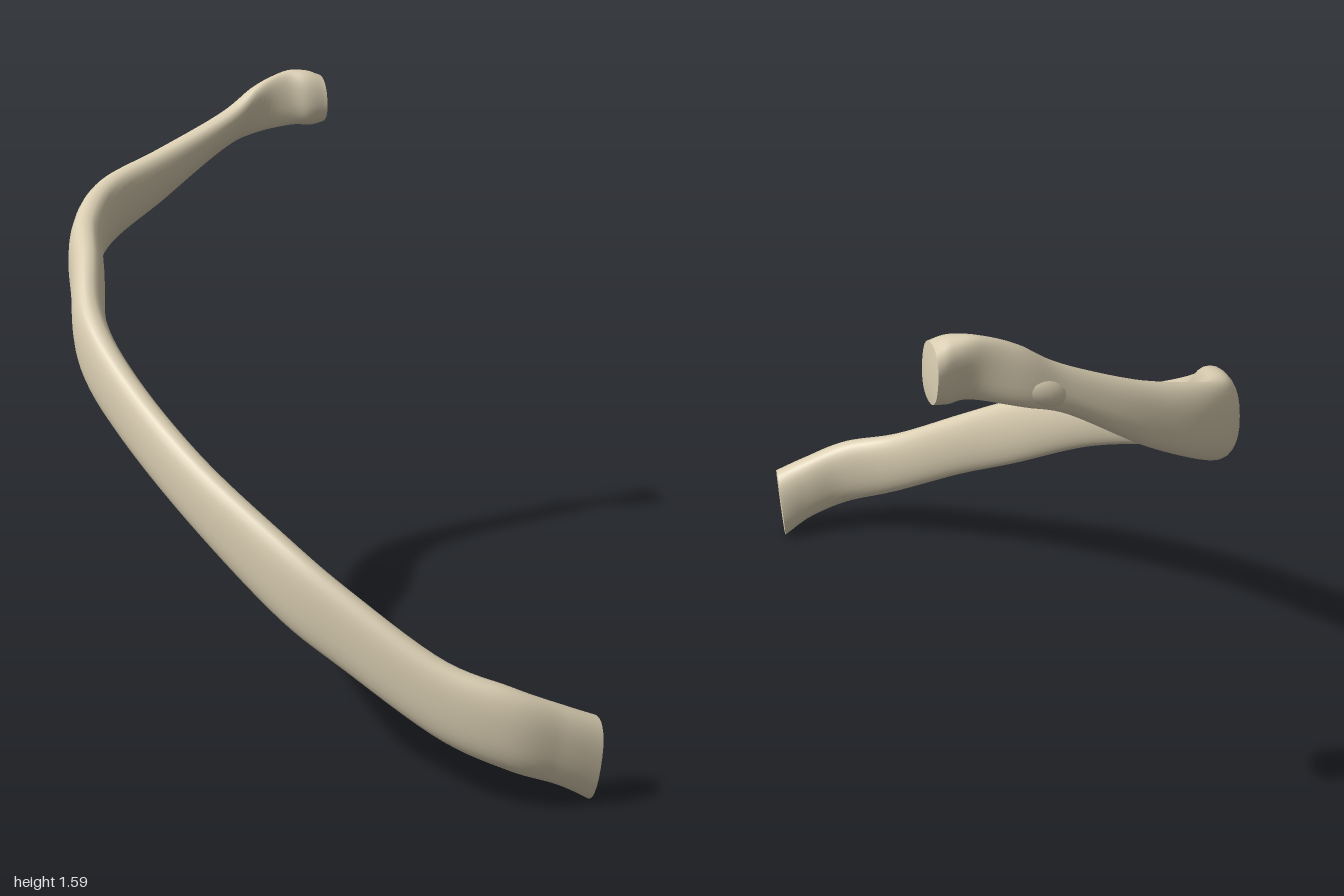
import * as THREE from 'three';

// Stations from the front end to the head:
// x, z, lower y, upper y, thickness, lean of the upper edge in z
const STATIONS = [
  [-0.333, 0.925, 0.0, 0.225, 0.115, 0.03],
  [-0.41, 0.88, 0.055, 0.27, 0.1, 0.01],
  [-0.5, 0.8, 0.105, 0.325, 0.095, 0],
  [-0.573, 0.64, 0.175, 0.385, 0.085, 0],
  [-0.625, 0.4, 0.31, 0.525, 0.082, 0],
  [-0.642, 0.2, 0.415, 0.64, 0.085, 0],
  [-0.617, -0.1, 0.595, 0.79, 0.085, 0],
  [-0.535, -0.4, 0.75, 0.945, 0.085, 0],
  [-0.445, -0.6, 0.86, 1.075, 0.09, 0],
  [-0.305, -0.75, 0.97, 1.195, 0.095, 0.015],
  [-0.16, -0.885, 1.05, 1.26, 0.1, 0.02],
  [0.0, -0.95, 1.12, 1.325, 0.1, 0.025],
  [0.2, -0.91, 1.225, 1.39, 0.09, 0.03],
  [0.4, -0.84, 1.36, 1.48, 0.075, 0.045],
  [0.5, -0.79, 1.4, 1.55, 0.065, 0.025],
  [0.587, -0.7, 1.425, 1.588, 0.06, -0.025],
  [0.633, -0.665, 1.422, 1.59, 0.1, -0.015],
  [0.67, -0.645, 1.43, 1.575, 0.125, -0.01],
];
const SIDES = 28, STEPS = 110;

const path = (f) => new THREE.CatmullRomCurve3(STATIONS.map(f), false, 'catmullrom');
const lower = path(([x, z, low]) => new THREE.Vector3(x, low, z));
const upper = path(([x, z, , high, , lean]) => new THREE.Vector3(x, high, z + lean));
const thick = path((s) => new THREE.Vector3(s[4], 0, 0));
const middle = (t) => lower.getPoint(t).lerp(upper.getPoint(t), 0.5);

// One flattened oval section, thinner towards the lower inner edge
function section(t) {
  const centre = middle(t);
  const tangent = middle(Math.min(1, t + 0.004)).sub(middle(Math.max(0, t - 0.004)));
  const up = upper.getPoint(t).sub(lower.getPoint(t)).multiplyScalar(0.5);
  const side = tangent.cross(up).normalize().multiplyScalar(thick.getPoint(t).x / 2);
  const groove = 0.25 * Math.sin(Math.PI * t);
  const soft = (v) => Math.sign(v) * Math.abs(v) ** 0.85;
  const points = [];
  for (let j = 0; j < SIDES; j++) {
    const a = (j / SIDES) * Math.PI * 2;
    const c = Math.cos(a), s = Math.sin(a);
    const w = c > 0 && s < 0 ? 1 + groove * s : 1;
    points.push(centre.clone().addScaledVector(side, soft(c) * w).addScaledVector(up, soft(s)));
  }
  return points;
}

function build(points, index) {
  const g = new THREE.BufferGeometry().setFromPoints(points);
  g.setIndex(index);
  g.computeVertexNormals();
  return g;
}

function shaftGeometry() {
  const points = [], index = [];
  for (let i = 0; i <= STEPS; i++) points.push(...section(i / STEPS));
  for (let i = 0; i < STEPS; i++) {
    for (let j = 0; j < SIDES; j++) {
      const k = (j + 1) % SIDES;
      const a = i * SIDES + j, b = i * SIDES + k;
      index.push(a, a + SIDES, b + SIDES, a, b + SIDES, b);
    }
  }
  return build(points, index);
}

// Separate end face, pushed in or out a little at its centre
function capGeometry(t, bulge) {
  const points = section(t), index = [];
  const dir = middle(t).sub(middle(t ? 0.99 : 0.01)).normalize();
  points.push(middle(t).addScaledVector(dir, bulge));
  for (let j = 0; j < SIDES; j++) {
    const k = (j + 1) % SIDES;
    index.push(SIDES, t ? k : j, t ? j : k);
  }
  return build(points, index);
}

export function createModel() {
  const group = new THREE.Group();
  group.name = 'ribBone';
  const bone = new THREE.MeshStandardMaterial({ color: 0xd9cdb1 });
  bone.name = 'bone';
  const add = (name, geometry) => {
    const mesh = new THREE.Mesh(geometry, bone);
    mesh.name = name;
    group.add(mesh);
    return mesh;
  };

  add('shaft', shaftGeometry());
  add('frontEndFace', capGeometry(0, -0.006));
  add('headFace', capGeometry(1, 0.01));

  // Small bump on the back of the neck
  const bump = add('tubercle', new THREE.SphereGeometry(1, 20, 14));
  bump.scale.set(0.06, 0.035, 0.026);
  bump.position.set(0.465, 1.435, -0.815);
  bump.rotation.set(0, -0.5, 0.45);
  return group;
}
